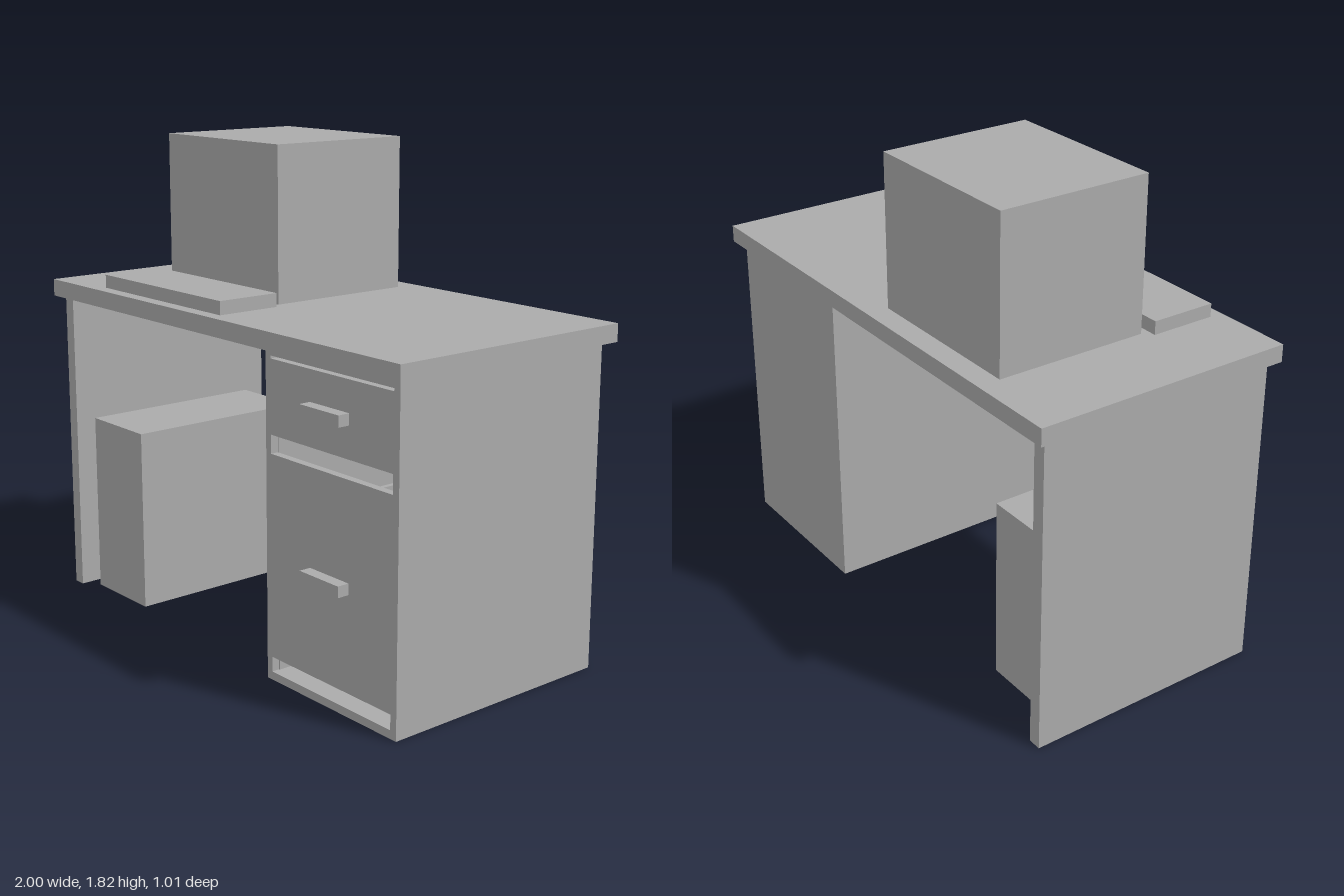
import * as THREE from 'three';

export function createModel() {
  const desk = new THREE.Group();
  desk.name = 'desk';
  // double-sided because some boxes are open underneath
  const grey = new THREE.MeshStandardMaterial({ color: 0xaaaaaa, side: THREE.DoubleSide });
  grey.name = 'plain grey';

  const add = (parent, name, geometry) => {
    const mesh = new THREE.Mesh(geometry, grey);
    mesh.name = name;
    parent.add(mesh);
    return mesh;
  };

  // box given by its limits; open = true leaves out the bottom face
  const box = (parent, name, [x0, x1], [y0, y1], [z0, z1], open = false) => {
    const g = new THREE.BoxGeometry(x1 - x0, y1 - y0, z1 - z0);
    if (open) {
      g.setIndex([...g.index.array].filter((_, i) => i < 18 || i >= 24));
      g.clearGroups();
    }
    g.translate((x0 + x1) / 2, (y0 + y1) / 2, (z0 + z1) / 2);
    return add(parent, name, g);
  };

  // table and side support
  box(desk, 'tabletop', [-1, 1], [1.185, 1.25], [-0.505, 0.495]);
  box(desk, 'sidePanel', [-0.97, -0.92], [0, 1.185], [-0.47, 0.46], true);

  // computer equipment
  box(desk, 'monitor', [-0.667, -0.003], [1.25, 1.82], [-0.42, 0.163]);
  box(desk, 'keyboard', [-0.7, 0.027], [1.25, 1.3], [0.195, 0.445]);
  box(desk, 'computerTower', [-0.865, -0.54], [0, 0.7], [-0.34, 0.41], true);

  // hollow drawer cabinet
  const cabinet = new THREE.Group();
  cabinet.name = 'drawerCabinet';
  desk.add(cabinet);
  const [L, R, T] = [0.3, 0.963, 0.03];
  box(cabinet, 'cabinetFloor', [L, R], [0, T], [-0.47, 0.43]);
  box(cabinet, 'cabinetBack', [L + T, R - T], [T, 1.185], [-0.47, -0.44]);
  box(cabinet, 'cabinetRightSide', [L, L + T], [T, 1.185], [-0.47, 0.43]);
  box(cabinet, 'cabinetLeftSide', [R - T, R], [T, 1.185], [-0.47, 0.43]);

  // front with gaps above and below the drawers
  const front = new THREE.Shape();
  front.moveTo(L, 0).lineTo(R, 0).lineTo(R, 1.185).lineTo(L, 1.185).closePath();
  for (const [y0, y1] of [[0.03, 0.085], [0.82, 0.887], [1.15, 1.16]]) {
    const gap = new THREE.Path();
    gap.moveTo(L + 0.026, y0).lineTo(L + 0.026, y1).lineTo(R - 0.028, y1).lineTo(R - 0.028, y0).closePath();
    front.holes.push(gap);
  }
  const frontGeometry = new THREE.ExtrudeGeometry(front, { depth: T, bevelEnabled: false });
  add(cabinet, 'cabinetFront', frontGeometry.translate(0, 0, 0.43));

  // drawer trays and handles
  for (const [name, bottom, top, handleY] of [
    ['lowerDrawer', 0.1, 0.61, 0.43],
    ['upperDrawer', 0.9, 1.1, 1.0],
  ]) {
    const drawer = new THREE.Group();
    drawer.name = name;
    cabinet.add(drawer);
    const [x0, x1] = [L + T + 0.002, R - T - 0.002];
    box(drawer, 'drawerBottom', [x0, x1], [bottom, bottom + 0.02], [-0.43, 0.43]);
    box(drawer, 'drawerRightWall', [x0, x0 + 0.02], [bottom + 0.02, top], [-0.43, 0.43]);
    box(drawer, 'drawerLeftWall', [x1 - 0.02, x1], [bottom + 0.02, top], [-0.43, 0.43]);
    box(drawer, 'drawerHandle', [0.532, 0.727], [handleY, handleY + 0.04], [0.46, 0.505]);
  }

  return desk;
}
